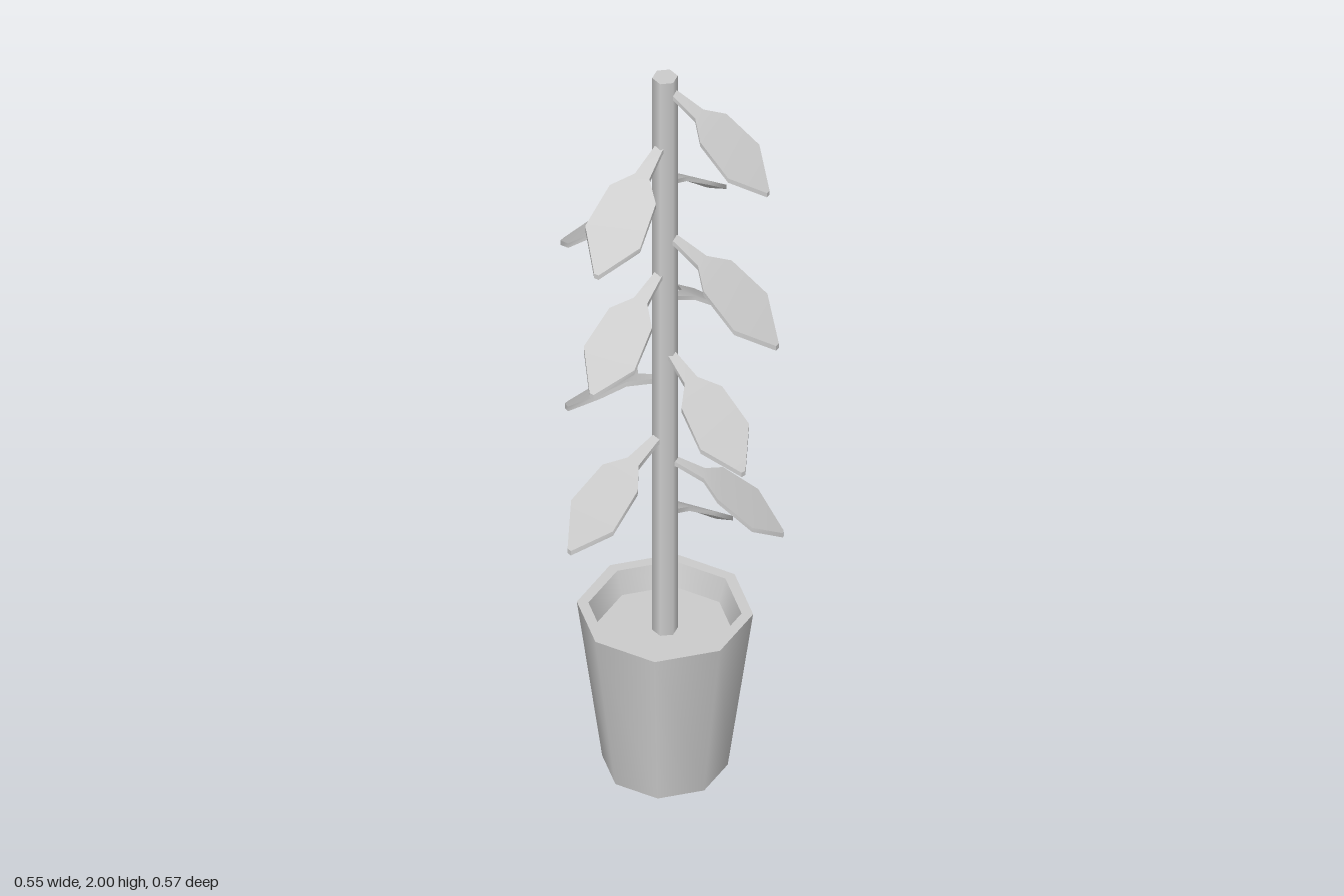
import * as THREE from 'three';

const material = new THREE.MeshStandardMaterial({ color: 0xcccccc });

function add(parent, name, geometry) {
  const mesh = new THREE.Mesh(geometry, material);
  mesh.name = name;
  parent.add(mesh);
  return mesh;
}

// One eight-sided band of the pot between two profile points
function band(r0, y0, r1, y1) {
  return new THREE.LatheGeometry([new THREE.Vector2(r0, y0), new THREE.Vector2(r1, y1)], 8);
}

// Thin drooping leaf along +z: a segmented box reshaped by cross-sections
function leafGeometry() {
  // [distance from stem, height, half width]
  const sections = [
    [0, 0.01, 0.012],
    [0.03, 0, 0.012],
    [0.095, -0.036, 0.02],
    [0.134, -0.064, 0.064],
    [0.218, -0.134, 0.076],
    [0.286, -0.2, 0.006],
  ];
  const last = sections.length - 1;
  const geometry = new THREE.BoxGeometry(2, 0.013, last, 1, 1, last);
  const p = geometry.attributes.position;
  for (let i = 0; i < p.count; i++) {
    const [z, y, halfWidth] = sections[Math.round(p.getZ(i) + last / 2)];
    p.setXYZ(i, p.getX(i) * halfWidth, p.getY(i) + y, z);
  }
  geometry.computeVertexNormals();
  return geometry;
}

export function createModel() {
  const model = new THREE.Group();
  model.name = 'pottedPlant';

  const plant = new THREE.Group();
  plant.name = 'plant';
  plant.position.set(0.011, 0, 0.007);
  model.add(plant);

  // Tapered pot with a thick rim, filled with soil
  const pot = new THREE.Group();
  pot.name = 'pot';
  plant.add(pot);
  add(pot, 'potBase', band(0, 0, 0.146, 0));
  add(pot, 'potWall', band(0.146, 0, 0.205, 0.445));
  add(pot, 'potRim', band(0.205, 0.445, 0.178, 0.445));
  add(pot, 'potInnerWall', band(0.178, 0.445, 0.16, 0.385));
  add(pot, 'soil', band(0.16, 0.385, 0, 0.385));

  // Six-sided stem
  const stem = add(plant, 'stem', new THREE.CylinderGeometry(0.03, 0.03, 1.62, 6));
  stem.position.y = 1.19;

  // Leaves from bottom to top: [attachment height, heading in degrees, scale]
  const leaves = [
    [0.71, 118, 1], [0.875, 46, 0.96], [0.95, 271, 1], [1.1, 191.5, 1.04],
    [1.195, 2.5, 0.97], [1.34, 104.6, 0.95], [1.43, 284, 0.97], [1.53, 22.5, 1.04],
    [1.595, 198, 1], [1.675, 120.5, 0.95], [1.8, 288, 1], [1.955, 22, 0.96],
  ];
  const geometry = leafGeometry();
  for (const [height, heading, scale] of leaves) {
    const leaf = add(plant, 'leaf', geometry);
    leaf.position.y = height;
    leaf.rotation.y = THREE.MathUtils.degToRad(heading);
    leaf.scale.setScalar(scale);
  }
  return model;
}
